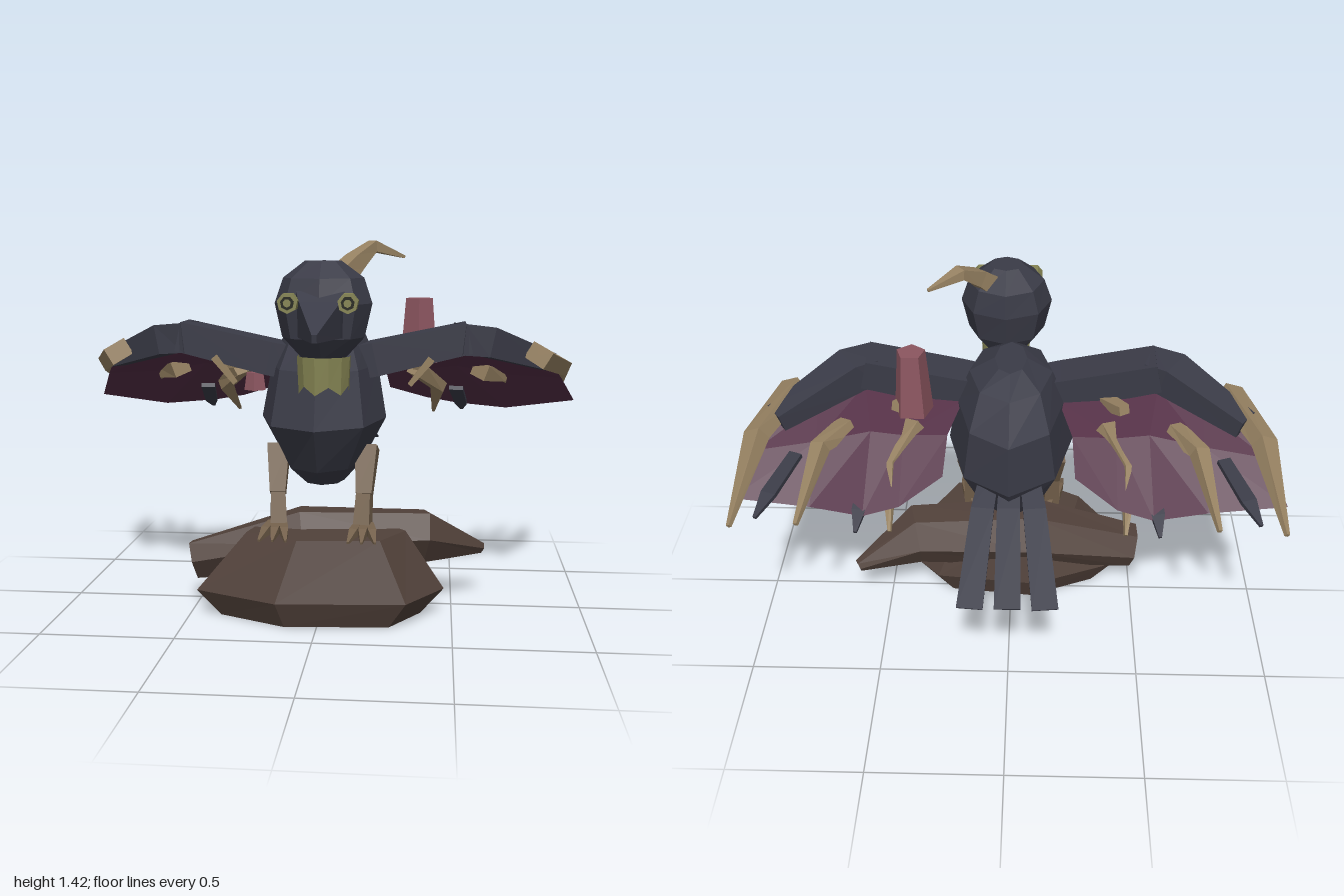
import * as THREE from 'three';

const V = (x, y, z) => new THREE.Vector3(x, y, z);
const paint = (name, color, side = THREE.FrontSide) => {
  const m = new THREE.MeshStandardMaterial({ color, side, flatShading: true });
  m.name = name;
  return m;
};

// Skins a list of rings (counter-clockwise about the direction of travel) and closes both ends.
function skin(rings) {
  const p = [];
  const tri = (a, b, c) => p.push(...a.toArray(), ...b.toArray(), ...c.toArray());
  const n = rings[0].length;
  const mid = (r) => r.reduce((s, v) => s.add(v), V(0, 0, 0)).divideScalar(n);
  const first = mid(rings[0]), last = mid(rings.at(-1));
  for (let j = 0; j < n; j++) {
    const k = (j + 1) % n;
    for (let i = 0; i < rings.length - 1; i++) {
      const a = rings[i], b = rings[i + 1];
      tri(a[j], a[k], b[k]);
      tri(a[j], b[k], b[j]);
    }
    tri(first, rings[0][k], rings[0][j]);
    tri(last, rings.at(-1)[j], rings.at(-1)[k]);
  }
  const g = new THREE.BufferGeometry();
  g.setAttribute('position', new THREE.Float32BufferAttribute(p, 3));
  g.computeVertexNormals();
  return g;
}

// Stacked horizontal ellipses: rows of [y, rx, zFront, zBack].
const stack = (rows, sides, cx = 0) => skin(rows.map(([y, rx, zf, zb]) =>
  Array.from({ length: sides }, (_, j) => {
    const a = (j / sides) * Math.PI * 2;
    return V(cx + Math.sin(a) * rx, y, (zf + zb) / 2 + Math.cos(a) * (zf - zb) / 2);
  })));

// Tapered limb along points of [x, y, z, sideways radius, upright radius]; s mirrors x, roll turns it on its axis.
function limb(pts, sides = 4, s = 1, roll = 0) {
  const c = pts.map((p) => V(p[0] * s, p[1], p[2]));
  return skin(pts.map((p, i) => {
    const t = c[Math.min(i + 1, c.length - 1)].clone().sub(c[Math.max(i - 1, 0)]).normalize();
    const u = t.clone().cross(V(0, 1, 0)).normalize().applyAxisAngle(t, roll * s);
    const v = t.clone().cross(u);
    return Array.from({ length: sides }, (_, j) => {
      const a = ((j + 0.5) / sides) * Math.PI * 2;
      return c[i].clone().addScaledVector(u, Math.cos(a) * p[3]).addScaledVector(v, Math.sin(a) * p[4]);
    });
  }));
}

export function createModel() {
  const root = new THREE.Group();
  root.name = 'perchedBird';
  const plumage = paint('darkPlumage', 0x3a3b47);
  const bone = paint('paleBone', 0x988363);
  const legTan = paint('legTan', 0x74614c);
  const bark = paint('bark', 0x51413a);
  const membrane = paint('plumMembrane', 0x532e45, THREE.DoubleSide);
  const rose = paint('rose', 0x8c5660);
  const olive = paint('olive', 0x858453, THREE.DoubleSide);
  const pupilDark = paint('pupilDark', 0x24251c);
  const add = (name, geo, mat, parent = root) => {
    const m = new THREE.Mesh(geo, mat);
    m.name = name;
    parent.add(m);
    return m;
  };

  // Body and head
  add('body', stack([
    [0.5, 0.08, 0.14, -0.09], [0.58, 0.15, 0.31, -0.26], [0.75, 0.24, 0.42, -0.355],
    [0.95, 0.205, 0.34, -0.34], [1.07, 0.155, 0.22, -0.22], [1.13, 0.06, 0.11, -0.12],
  ], 8), plumage);
  add('head', stack([
    [1.005, 0.08, 0.41, 0.22], [1.08, 0.148, 0.47, 0.175], [1.2, 0.175, 0.485, 0.15],
    [1.29, 0.145, 0.455, 0.165], [1.35, 0.065, 0.38, 0.26],
  ], 8, 0.025), plumage);
  add('beak', limb([[0.025, 1.165, 0.42, 0.12, 0.12], [0.03, 1.15, 0.49, 0.1, 0.09],
    [0.035, 1.105, 0.725, 0.012, 0.02]]), plumage);
  add('crest', limb([[0.08, 1.285, 0.27, 0.055, 0.055], [0.13, 1.345, 0.215, 0.045, 0.042],
    [0.19, 1.4, 0.14, 0.036, 0.028], [0.305, 1.36, 0.075, 0.007, 0.007]]), bone);

  // Eyes: stub, dark ring and bright centre
  for (const x of [-0.078, 0.128]) {
    const eye = new THREE.Group();
    eye.name = x < 0 ? 'rightEye' : 'leftEye';
    eye.position.set(x, 1.21, 0);
    root.add(eye);
    const disc = (name, r, z, d, mat) => add(name, new THREE.CylinderGeometry(r, r, d, 7)
      .rotateX(Math.PI / 2).translate(0, 0, z), mat, eye);
    disc('eyeStub', 0.036, 0.5, 0.056, olive);
    disc('eyeRing', 0.024, 0.53, 0.006, pupilDark);
    disc('eyeCentre', 0.014, 0.535, 0.006, olive);
  }

  // Ragged throat bib wrapped round the front of the neck
  const bib = new THREE.CylinderGeometry(0.098, 0.092, 0.13, 7, 1, true, -1.85, 3.7);
  const bp = bib.attributes.position;
  for (let i = 0; i < bp.count; i++) {
    if (bp.getY(i) < 0) bp.setY(i, i % 2 ? -0.07 : -0.04);
  }
  add('throatBib', bib.translate(0.028, 0.948, 0.325), olive);

  // Tail feathers
  for (const i of [-1, 0, 1]) {
    add('tailFeather', limb([[i * 0.07, 0.76, -0.2, 0.05, 0.006], [i * 0.095, 0.7, -0.36, 0.06, 0.006],
      [i * 0.132 - 0.005, 0.545, -0.725, 0.066, 0.004]]), plumage);
  }

  for (const s of [1, -1]) {
    // Wing
    const wing = new THREE.Group();
    wing.name = s > 0 ? 'leftWing' : 'rightWing';
    root.add(wing);
    const part = (name, mat, pts, roll = 0) => add(name, limb(pts, 4, s, roll), mat, wing);
    part('upperArm', plumage, [[0.1, 0.96, 0.05, 0.1, 0.09], [0.2, 0.98, 0.05, 0.11, 0.09],
      [0.55, 1.06, 0.045, 0.11, 0.08]]);
    part('forearm', plumage, [[0.51, 1.055, 0.06, 0.1, 0.08], [0.6, 1.045, 0.03, 0.105, 0.08],
      [0.86, 0.95, -0.16, 0.065, 0.05]]);
    part('longFinger', bone, [[0.815, 0.99, 0.0, 0.065, 0.05], [0.92, 0.93, -0.24, 0.055, 0.042],
      [0.96, 0.795, -0.6, 0.01, 0.01]], 0.5);
    part('middleFinger', bone, [[0.6, 0.915, -0.15, 0.055, 0.045], [0.69, 0.89, -0.25, 0.042, 0.035],
      [0.738, 0.775, -0.56, 0.01, 0.01]], 0.3);
    part('innerFinger', bone, [[0.35, 0.92, -0.14, 0.05, 0.04], [0.44, 0.835, -0.28, 0.04, 0.03],
      [0.42, 0.7, -0.5, 0.008, 0.008]], 0.3);
    part('thumbSpur', bone, [[0.41, 0.985, 0.115, 0.02, 0.02], [0.33, 0.885, 0.12, 0.012, 0.012]]);
    part('wingSpur', bone, [[0.36, 0.95, -0.02, 0.04, 0.035], [0.42, 0.98, -0.12, 0.03, 0.025]]);
    part('outerFeather', plumage, [[0.77, 0.89, -0.3, 0.035, 0.012], [0.84, 0.845, -0.48, 0.04, 0.012],
      [0.875, 0.81, -0.57, 0.008, 0.008]]);
    part('innerFeather', plumage, [[0.51, 0.83, -0.25, 0.04, 0.012], [0.535, 0.745, -0.44, 0.035, 0.012],
      [0.54, 0.71, -0.52, 0.008, 0.008]]);

    // Membrane arched from the arm over a middle row to a scalloped trailing edge
    const rows = [
      [[0.18, 0.95, -0.02], [0.38, 0.97, -0.02], [0.55, 1.0, 0], [0.72, 0.96, -0.08], [0.88, 0.94, -0.16]],
      [[0.23, 0.9, -0.18], [0.39, 0.91, -0.2], [0.51, 0.925, -0.2], [0.71, 0.89, -0.22], [0.93, 0.875, -0.26]],
      [[0.24, 0.82, -0.33], [0.39, 0.765, -0.44], [0.52, 0.74, -0.465], [0.72, 0.73, -0.405], [1, 0.765, -0.405]],
    ];
    const tri = [];
    for (let r = 0; r < 2; r++) {
      const lead = rows[r], trail = rows[r + 1];
      for (let i = 0; i < 4; i++) {
        const quad = [lead[i], trail[i + 1], trail[i], lead[i], lead[i + 1], trail[i + 1]];
        if (s > 0) quad.reverse();
        quad.forEach(([x, y, z]) => tri.push(x * s, y, z));
      }
    }
    const web = new THREE.BufferGeometry();
    web.setAttribute('position', new THREE.Float32BufferAttribute(tri, 3));
    web.computeVertexNormals();
    add('wingMembrane', web, membrane, wing);

    // Leg and toes
    const leg = new THREE.Group();
    leg.name = s > 0 ? 'leftLeg' : 'rightLeg';
    root.add(leg);
    const bit = (name, pts) => add(name, limb(pts, 4, s), legTan, leg);
    bit('thigh', [[0.17, 0.64, 0.08, 0.06, 0.065], [0.165, 0.47, 0.155, 0.042, 0.04]]);
    bit('shank', [[0.165, 0.48, 0.15, 0.038, 0.035], [0.16, 0.33, 0.18, 0.045, 0.05]]);
    for (const d of [-1, 0, 1]) {
      bit('toe', [[0.165 + d * 0.02, 0.35, 0.17, 0.022, 0.025], [0.165 + d * 0.035, 0.345, 0.25, 0.022, 0.022],
        [0.165 + d * 0.05, 0.325, 0.325, 0.006, 0.006]]);
    }
    bit('hindToe', [[0.16, 0.345, 0.18, 0.022, 0.022], [0.16, 0.34, 0.09, 0.008, 0.008]]);
  }

  // Rose stumps, one above the left wing and a small one below the right
  add('roseStump', new THREE.CylinderGeometry(0.054, 0.075, 0.25, 5).translate(0.36, 1.075, -0.09), rose);
  add('smallRoseStump', new THREE.CylinderGeometry(0.035, 0.045, 0.07, 5).translate(-0.285, 0.87, -0.08), rose);

  // Perch: a faceted block with a fallen branch behind it
  const outline = [[-0.47, 0.23], [-0.15, 0.38], [0.33, 0.34], [0.47, 0.12], [0.3, -0.06], [-0.1, -0.1], [-0.42, 0.03]];
  add('perchBlock', skin([[0, 0.81, 0.83], [0.1, 1, 1], [0.325, 0.64, 0.74]].map(([y, kx, kz]) =>
    outline.map(([x, z]) => V(x * kx + 0.02 * (y > 0.2), y, 0.13 + (z - 0.13) * kz)))), bark);
  add('fallenBranch', limb([[-0.51, 0.175, 0.07, 0.07, 0.09], [-0.08, 0.265, 0.04, 0.125, 0.14],
    [0.39, 0.275, 0, 0.1, 0.12], [0.62, 0.2, -0.12, 0.02, 0.025]], 6, 1, Math.PI / 6), bark);
  return root;
}
